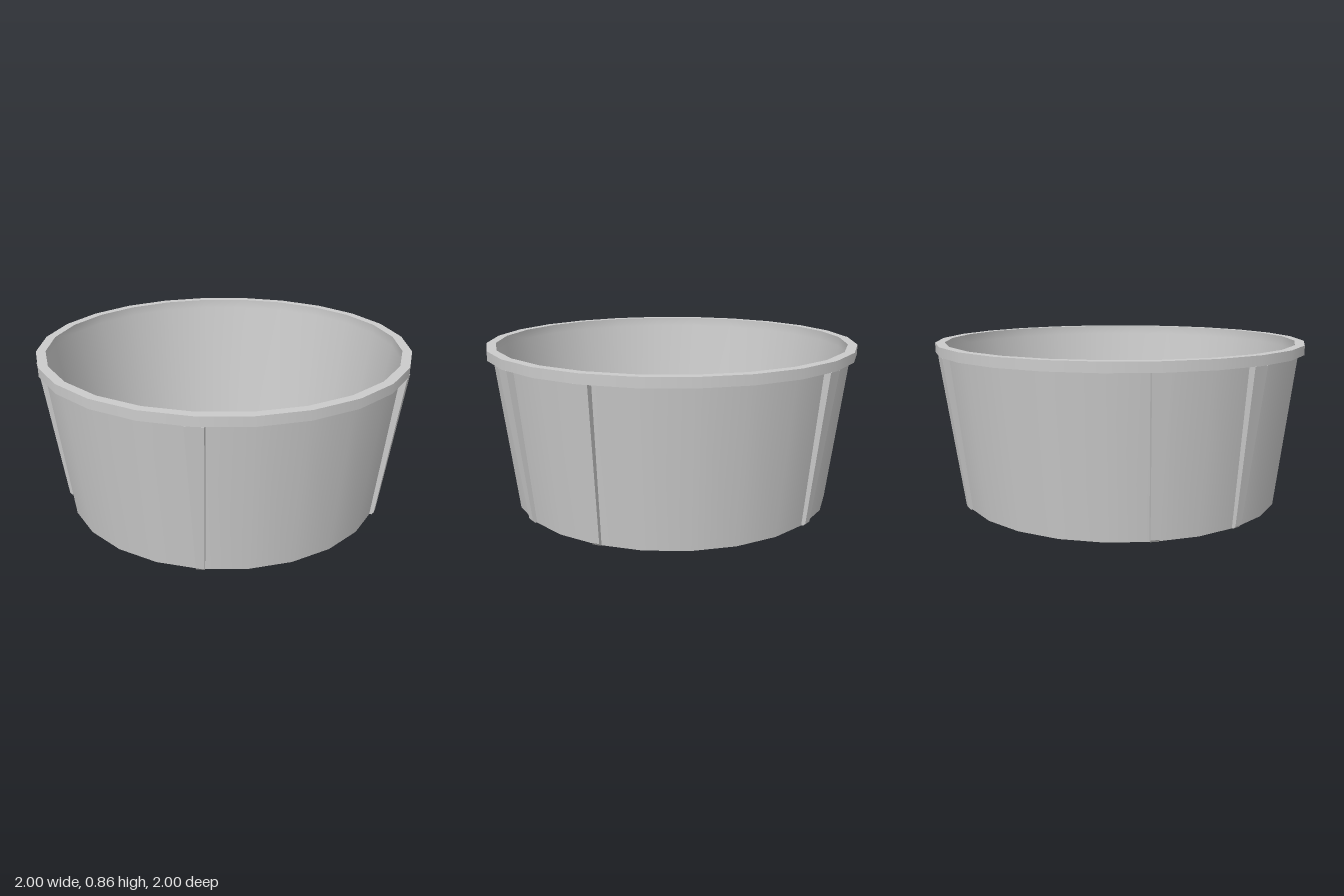
import * as THREE from 'three';

const SIDES = 24;
const HEIGHT = 0.86;
const RIM_Y = 0.81; // underside of the rim

const material = new THREE.MeshStandardMaterial({ color: 0xcccccc });

// One smooth band of the ring, with sharp edges towards its neighbours
function band(name, profile) {
  const points = profile.map(([r, y]) => new THREE.Vector2(r, y));
  const mesh = new THREE.Mesh(new THREE.LatheGeometry(points, SIDES), material);
  mesh.name = name;
  return mesh;
}

// Tapered rib: wide under the rim, narrow and slightly chamfered at the foot
function ribGeometry() {
  const box = new THREE.BoxGeometry(1, 1, 1, 1, 2, 1);
  const p = box.attributes.position;
  const lerp = THREE.MathUtils.lerp;
  for (let i = 0; i < p.count; i++) {
    const level = p.getY(i);
    const y = level < -0.1 ? 0.002 : level > 0.1 ? RIM_Y : 0.015;
    const t = y / RIM_Y;
    const halfWidth = lerp(0.021, 0.045, t);
    const chamfer = level < -0.1 ? 0.01 : 0;
    const z = p.getZ(i) > 0 ? lerp(0.886, 0.997, t) - chamfer : lerp(0.85, 0.956, t);
    p.setXYZ(i, Math.sign(p.getX(i)) * halfWidth, y, z);
  }
  const geometry = box.toNonIndexed();
  geometry.computeVertexNormals();
  return geometry;
}

export function createModel() {
  const model = new THREE.Group();
  model.name = 'taperedRing';

  // Wall and rim, following the cross-section around
  model.add(
    band('outerWall', [[0.868, 0], [0.968, RIM_Y]]),
    band('rimUnderside', [[0.968, RIM_Y], [1, RIM_Y]]),
    band('rimSide', [[1, RIM_Y], [1, HEIGHT]]),
    band('rimTop', [[1, HEIGHT], [0.95, HEIGHT]]),
    band('innerWall', [[0.95, HEIGHT], [0.95, RIM_Y], [0.825, 0]]),
    band('bottomEdge', [[0.825, 0], [0.868, 0]])
  );

  // Ribs: one at front and back, a pair on each side
  const geometry = ribGeometry();
  for (const degrees of [0, 75, 105, 180, 255, 285]) {
    const rib = new THREE.Mesh(geometry, material);
    rib.name = 'rib';
    rib.rotation.y = THREE.MathUtils.degToRad(degrees);
    model.add(rib);
  }
  return model;
}
